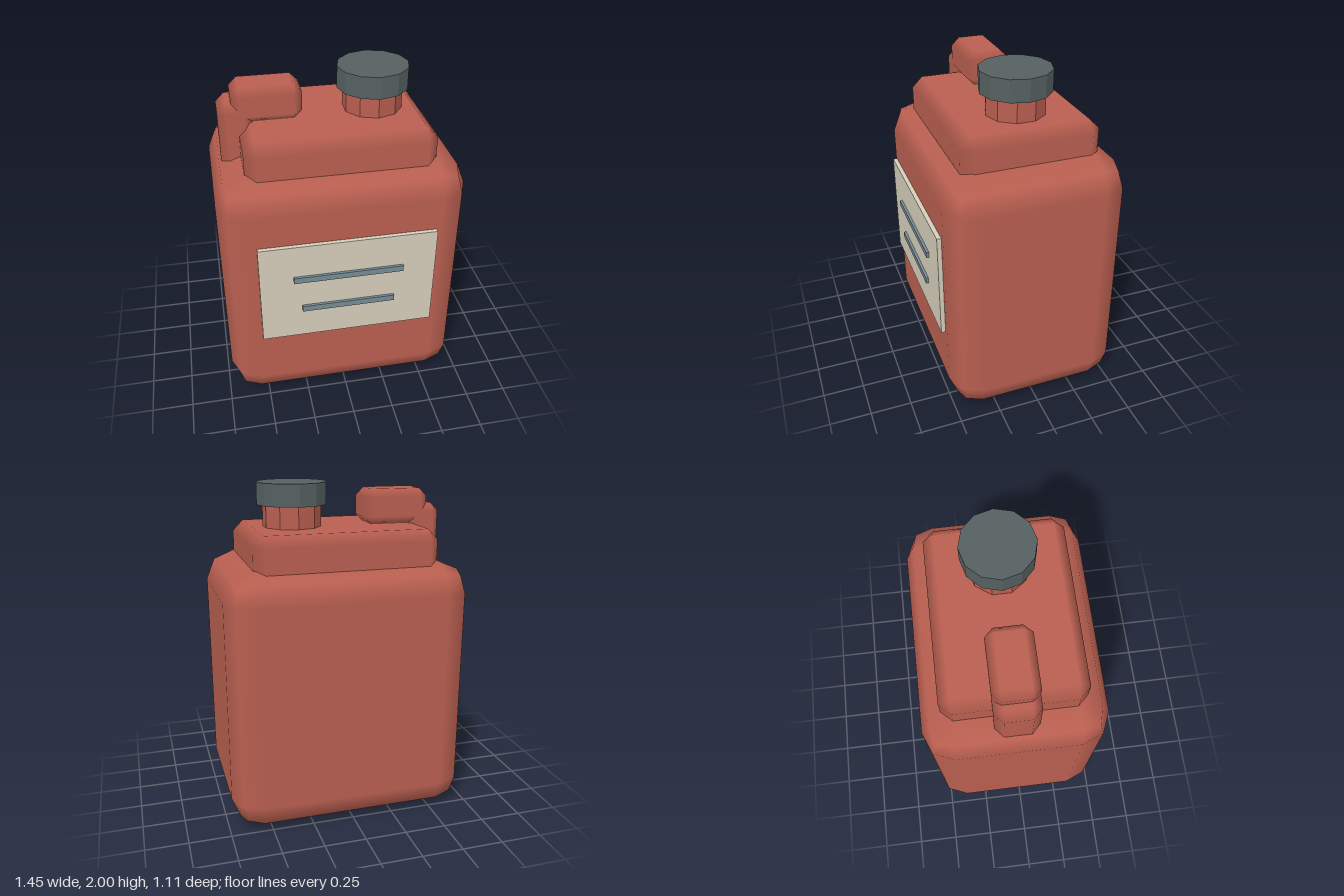
import * as THREE from 'three';
import { RoundedBoxGeometry } from 'three/addons/geometries/RoundedBoxGeometry.js';
import { ConvexGeometry } from 'three/addons/geometries/ConvexGeometry.js';

const paint = (name, color) => Object.assign(new THREE.MeshStandardMaterial({ color }), { name });

// Box with a single chamfer on every edge, shaded smoothly across the chamfer
function chamferBox(w, h, d, r) {
  const core = new THREE.Vector3(w / 2 - r, h / 2 - r, d / 2 - r);
  const points = [];
  for (const sx of [-1, 1]) for (const sy of [-1, 1]) for (const sz of [-1, 1]) {
    const c = new THREE.Vector3(sx, sy, sz).multiply(core);
    points.push(
      c.clone().add(new THREE.Vector3(sx * r, 0, 0)),
      c.clone().add(new THREE.Vector3(0, sy * r, 0)),
      c.clone().add(new THREE.Vector3(0, 0, sz * r)));
  }
  const geometry = new ConvexGeometry(points);
  const { position, normal } = geometry.attributes;
  const low = core.clone().negate();
  const p = new THREE.Vector3(), q = new THREE.Vector3();
  for (let i = 0; i < position.count; i++) {
    p.fromBufferAttribute(position, i);
    q.copy(p).clamp(low, core);
    p.sub(q).normalize();
    normal.setXYZ(i, p.x, p.y, p.z);
  }
  return geometry;
}

export function createModel() {
  const model = new THREE.Group();
  model.name = 'jerrycan';
  const red = paint('red plastic', 0xb95f50);
  const dark = paint('dark cap', 0x566060);
  const cream = paint('cream label', 0xd6cebb);
  const blue = paint('blue grey line', 0x768b95);

  const add = (name, geometry, material, x, y, z) => {
    const mesh = new THREE.Mesh(geometry, material);
    mesh.name = name;
    mesh.position.set(x, y, z);
    model.add(mesh);
    return mesh;
  };
  // Place a chamfered box from its x and y limits
  const block = (name, x0, x1, y0, y1, depth, r) =>
    add(name, chamferBox(x1 - x0, y1 - y0, depth, r), red, (x0 + x1) / 2, (y0 + y1) / 2, -0.022);
  const drum = (name, r, y0, y1, sides, material) => {
    const geometry = new THREE.CylinderGeometry(r, r, y1 - y0, sides).toNonIndexed();
    geometry.computeVertexNormals();
    add(name, geometry, material, 0.245, (y0 + y1) / 2, -0.022);
  };

  // Tank and raised shoulder
  add('body', new RoundedBoxGeometry(1.45, 1.55, 1.065, 1, 0.175), red, 0, 0.775, -0.022);
  block('shoulder', -0.548, 0.548, 1.47, 1.74, 0.815, 0.064);

  // Handle
  block('handlePost', -0.66, -0.46, 1.42, 1.86, 0.254, 0.05);
  block('handleBar', -0.58, -0.18, 1.74, 1.95, 0.254, 0.048);

  // Spout
  drum('neck', 0.175, 1.7, 1.88, 10, red);
  drum('cap', 0.21, 1.87, 2.0, 12, dark);

  // Front label with two printed bars
  add('label', new THREE.BoxGeometry(1.044, 0.66, 0.026), cream, 0, 0.85, 0.525);
  for (const [width, y] of [[0.65, 0.952], [0.556, 0.735]]) {
    add('labelBar', new THREE.BoxGeometry(width, 0.038, 0.016), blue, 0, y, 0.546);
  }
  return model;
}
